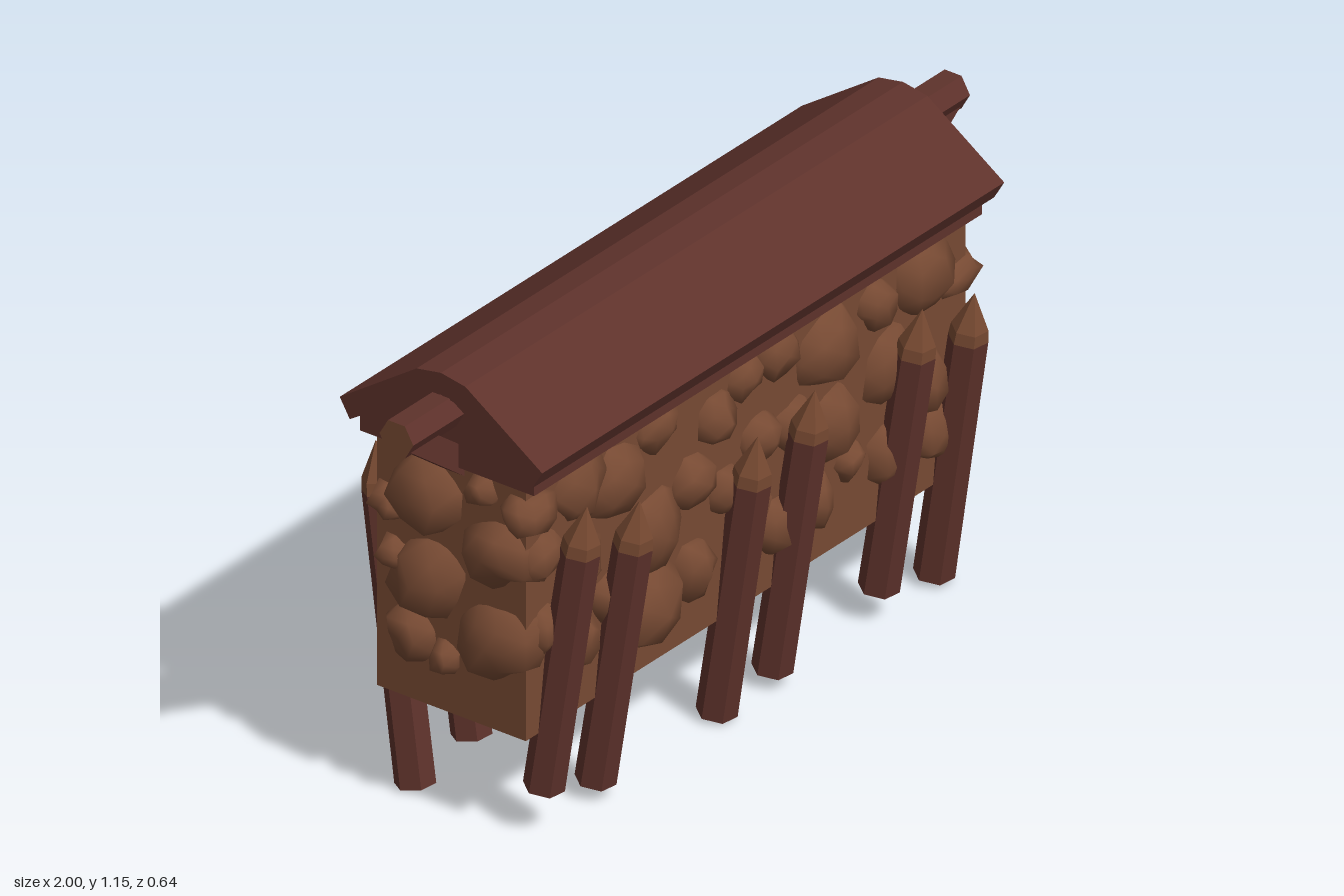
import * as THREE from 'three';
import { mergeVertices } from 'three/addons/utils/BufferGeometryUtils.js';

export function createModel() {
  const wood = new THREE.MeshStandardMaterial({ color: 0x5e322b });
  wood.name = 'dark wood';
  wood.flatShading = true;
  const cutWood = new THREE.MeshStandardMaterial({ color: 0x784a32 });
  cutWood.name = 'cut wood';
  cutWood.flatShading = true;
  const stone = new THREE.MeshStandardMaterial({ color: 0x774a33 });
  stone.name = 'brown stone';
  stone.side = THREE.DoubleSide;

  const model = new THREE.Group();
  model.name = 'stoneWall';
  const add = (name, geometry, material, parent = model) => {
    const mesh = new THREE.Mesh(geometry, material);
    mesh.name = name;
    parent.add(mesh);
    return mesh;
  };

  // Wall core: four faces and a top, open underneath
  const core = new THREE.BoxGeometry(1.58, 0.64, 0.415);
  const faces = Array.from(core.index.array);
  faces.splice(18, 6);
  core.setIndex(faces);
  core.clearGroups();
  add('wallCore', core, stone).position.set(-0.005, 0.6, -0.006);

  // Irregular blunt-cornered stones, set deep into the wall
  let seed = 7;
  const rand = () => (seed = (seed * 16807) % 2147483647) / 2147483647;
  function rockGeometry() {
    const raw = new THREE.IcosahedronGeometry(1, 1);
    raw.deleteAttribute('normal');
    raw.deleteAttribute('uv');
    const g = mergeVertices(raw, 1e-3);
    const p = g.attributes.position;
    for (let i = 0; i < p.count; i++) {
      const s = 0.84 + rand() * 0.32;
      p.setXYZ(i, p.getX(i) * s, p.getY(i) * s, p.getZ(i) * s);
    }
    g.computeVertexNormals();
    return g;
  }
  // Each stone: position along the wall, height, radius
  const frontStones = [
    [-0.61, 0.85, 0.1], [-0.47, 0.8, 0.11], [-0.32, 0.87, 0.075], [-0.12, 0.8, 0.065], [0.1, 0.87, 0.07],
    [-0.02, 0.86, 0.06], [0.28, 0.8, 0.11], [0.46, 0.83, 0.065], [0.63, 0.83, 0.1], [-0.2, 0.68, 0.08],
    [-0.35, 0.61, 0.11], [0.04, 0.68, 0.065], [0.3, 0.6, 0.1], [0.17, 0.66, 0.07], [0.5, 0.66, 0.1],
    [-0.6, 0.64, 0.09], [-0.73, 0.72, 0.07], [-0.37, 0.43, 0.13], [-0.2, 0.45, 0.08], [-0.61, 0.45, 0.08],
    [0.23, 0.43, 0.08], [0.36, 0.48, 0.05], [0, 0.52, 0.065], [0.1, 0.44, 0.075], [0.62, 0.56, 0.09],
    [0.5, 0.44, 0.08], [0.66, 0.42, 0.075], [-0.08, 0.6, 0.065], [-0.5, 0.52, 0.065], [-0.73, 0.54, 0.06],
  ];
  const backStones = [
    [0.27, 0.75, 0.145], [0.58, 0.81, 0.1], [0.43, 0.84, 0.08], [0.7, 0.68, 0.08], [0.43, 0.53, 0.11],
    [0.6, 0.56, 0.09], [0.68, 0.44, 0.075], [0.25, 0.5, 0.1], [0.1, 0.84, 0.08], [0.08, 0.65, 0.09],
    [0.1, 0.44, 0.08], [-0.05, 0.8, 0.085], [-0.05, 0.55, 0.08], [-0.3, 0.53, 0.14], [-0.2, 0.83, 0.085],
    [-0.36, 0.77, 0.09], [-0.14, 0.68, 0.065], [-0.12, 0.43, 0.08], [-0.5, 0.85, 0.075], [-0.52, 0.67, 0.1],
    [-0.52, 0.46, 0.085], [-0.67, 0.8, 0.09], [-0.67, 0.57, 0.085], [-0.68, 0.41, 0.065],
  ];
  const endStones = [
    [0.08, 0.81, 0.12], [-0.08, 0.875, 0.045], [-0.12, 0.73, 0.1], [0.07, 0.6, 0.115], [0.16, 0.635, 0.045],
    [-0.12, 0.5, 0.105], [0.12, 0.45, 0.08], [0.02, 0.42, 0.045], [-0.19, 0.84, 0.055], [0.18, 0.76, 0.05],
  ];

  const stones = new THREE.Group();
  stones.name = 'stones';
  model.add(stones);
  const addRock = (x, y, z, sx, sy, sz) => {
    const rock = add('stone', rockGeometry(), stone, stones);
    rock.position.set(x, y, z);
    rock.scale.set(sx, sy, sz);
  };
  for (const [x, y, r] of frontStones) addRock(x, y, 0.2 - r * 0.35, r, r, 0.035 + r * 0.55);
  for (const [x, y, r] of backStones) addRock(x, y, -0.212 + r * 0.35, r, r, 0.035 + r * 0.55);
  for (const side of [1, -1])
    for (const [z, y, r] of endStones) addRock(side * (0.785 - r * 0.35), y, side * z, 0.045 + r * 0.63, r, r);

  // Sharpened leaning posts: bottom x, bottom y, tip x, tip y
  const frontPosts = [
    [-0.705, 0.12, -0.695, 0.86], [-0.505, 0.045, -0.49, 0.78], [-0.065, 0.02, -0.06, 0.75],
    [0.13, 0.045, 0.14, 0.78], [0.505, 0.085, 0.518, 0.82], [0.715, 0.025, 0.715, 0.77],
  ];
  const backPosts = [
    [-0.718, 0.015, -0.7, 0.83], [-0.51, 0.045, -0.5, 0.78], [-0.11, 0.045, -0.09, 0.78],
    [0.085, 0.02, 0.1, 0.8], [0.47, 0.09, 0.49, 0.83], [0.66, 0.04, 0.68, 0.8],
  ];
  const up = new THREE.Vector3(0, 1, 0);
  function addPost([x0, y0, x1, y1], side) {
    const zAt = (y) => side * (0.167 + (y - 0.02) * 0.152);
    const from = new THREE.Vector3(x0, y0, zAt(y0));
    const span = new THREE.Vector3(x1, y1, zAt(y1)).sub(from);
    const shaft = span.length() - 0.12;
    const post = new THREE.Group();
    post.name = side > 0 ? 'frontPost' : 'backPost';
    post.position.copy(from);
    post.quaternion.setFromUnitVectors(up, span.clone().normalize());
    post.rotateY(0.42);
    add('shaft', new THREE.CylinderGeometry(0.046, 0.048, shaft, 6), wood, post).position.y = shaft / 2;
    add('tipCollar', new THREE.CylinderGeometry(0.043, 0.046, 0.03, 6, 1, true), cutWood, post).position.y = shaft + 0.015;
    add('sharpenedTip', new THREE.ConeGeometry(0.043, 0.09, 6), cutWood, post).position.y = shaft + 0.075;
    model.add(post);
  }
  frontPosts.forEach((p) => addPost(p, 1));
  backPosts.forEach((p) => addPost(p, -1));

  // Roof parts: cross-sections in z and y, swept along x
  function sweep(points, x0, x1) {
    const shape = new THREE.Shape(points.map(([z, y]) => new THREE.Vector2(z, y)));
    const g = new THREE.ExtrudeGeometry(shape, { depth: x1 - x0, bevelEnabled: false });
    return g.rotateY(Math.PI / 2).translate(x0, 0, 0);
  }
  add('roof', sweep([
    [0.282, 1.003], [0.068, 1.148], [0, 1.16], [-0.068, 1.148], [-0.282, 1.003],
    [-0.254, 0.956], [-0.035, 1.098], [0, 1.105], [0.035, 1.098], [0.254, 0.956],
  ], -0.84, 0.82), wood);
  add('gable', sweep([[0.245, 0.92], [0.245, 0.967], [0, 1.125], [-0.24, 0.967], [-0.24, 0.92]], -0.815, 0.795), wood);

  // Ridge pole with cut ends, and a slanted brace under each end
  const pole = add('ridgePole', new THREE.CylinderGeometry(0.047, 0.047, 2, 6), [wood, cutWood, cutWood]);
  pole.rotation.z = Math.PI / 2;
  pole.position.y = 1.063;
  for (const side of [1, -1]) {
    const brace = add('ridgeBrace', new THREE.BoxGeometry(0.27, 0.06, 0.06), wood);
    brace.position.set(side * 0.872, 0.985, 0);
    brace.rotation.z = side * 0.64;
  }
  return model;
}
